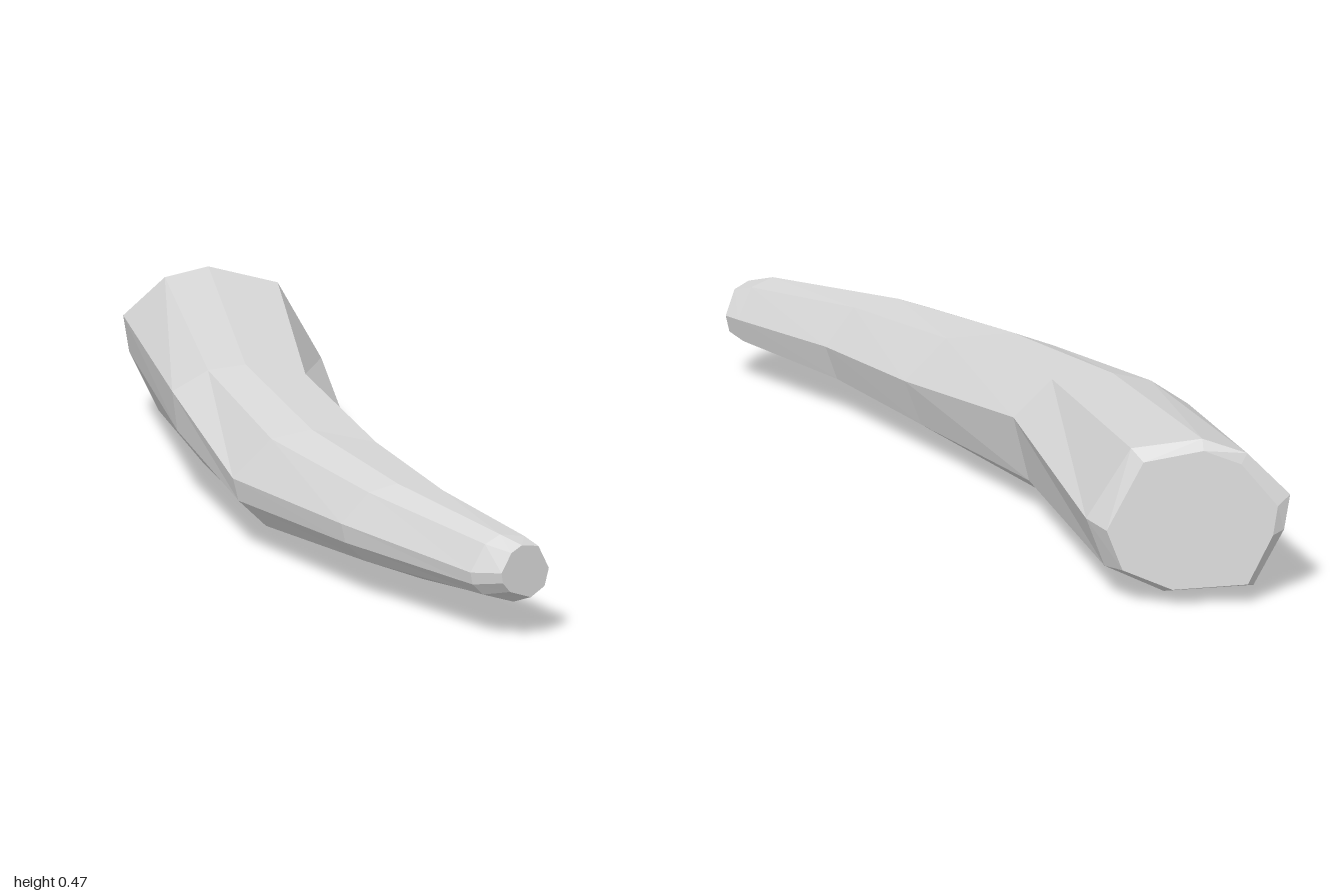
import * as THREE from 'three';

// Sections from the thick back end to the thin front tip:
// left x, left z, left y, right x, right z, right y, bottom, top, lean of z with height, drop of lower left corner
const SECTIONS = [
  [-0.665, -0.98, 0.28, -0.19, -0.965, 0.22, 0.05, 0.44, 0.12, 0.95],
  [-0.70, -0.965, 0.31, -0.14, -0.89, 0.23, 0.02, 0.47, 0, 0.92],
  [-0.48, -0.24, 0.32, 0.00, -0.20, 0.28, 0.00, 0.41, 0, 0.62],
  [-0.26, 0.20, 0.21, 0.26, 0.28, 0.22, 0.03, 0.37, 0, 0.72],
  [0.09, 0.62, 0.22, 0.45, 0.60, 0.21, 0.065, 0.34, 0, 0.68],
  [0.49, 0.97, 0.20, 0.67, 0.865, 0.20, 0.10, 0.30, 0, 0.68],
  [0.58, 1.00, 0.21, 0.70, 0.90, 0.20, 0.125, 0.28, 0, 0.68],
];

function sectionPoints([lx, lz, ly, rx, rz, ry, bottom, top, lean, drop]) {
  const { lerp } = THREE.MathUtils;
  // Nine corners: position across, and rise (+) or drop (-) from the side line
  const profile = [
    [1, 0], [0.78, 0.86], [0.43, 1], [0.21, 0.77], [0, 0],
    [0.03, -0.35], [0.18, -drop], [0.62, -1], [0.91, -0.67],
  ];
  return profile.map(([u, v]) => {
    const y = lerp(lerp(ly, ry, u), v > 0 ? top : bottom, Math.abs(v));
    return new THREE.Vector3(lerp(lx, rx, u), y, lerp(lz, rz, u) + lean * (y - (top + bottom) / 2));
  });
}

function loft(rings) {
  const n = rings[0].length;
  const pos = [];
  const tri = (...corners) => corners.forEach((p) => pos.push(p.x, p.y, p.z));
  const centre = (ring) => ring.reduce((s, p) => s.add(p), new THREE.Vector3()).divideScalar(n);
  const first = rings[0];
  const last = rings[rings.length - 1];
  const c0 = centre(first);
  const c1 = centre(last);
  for (let j = 0; j < n; j++) {
    const k = (j + 1) % n;
    // Sides
    for (let i = 0; i < rings.length - 1; i++) {
      const [a, b] = [rings[i], rings[i + 1]];
      tri(a[j], a[k], b[k]);
      tri(a[j], b[k], b[j]);
    }
    // Cut ends
    tri(c0, first[k], first[j]);
    tri(c1, last[j], last[k]);
  }
  const geometry = new THREE.BufferGeometry();
  geometry.setAttribute('position', new THREE.Float32BufferAttribute(pos, 3));
  geometry.computeVertexNormals();
  return geometry;
}

export function createModel() {
  const group = new THREE.Group();
  group.name = 'curvedHorn';
  const grey = new THREE.MeshStandardMaterial({ color: 0xd6d6d6, flatShading: true });
  grey.name = 'paleGrey';

  // Curved tapering body
  const body = new THREE.Mesh(loft(SECTIONS.map(sectionPoints)), grey);
  body.name = 'hornBody';
  group.add(body);
  return group;
}
